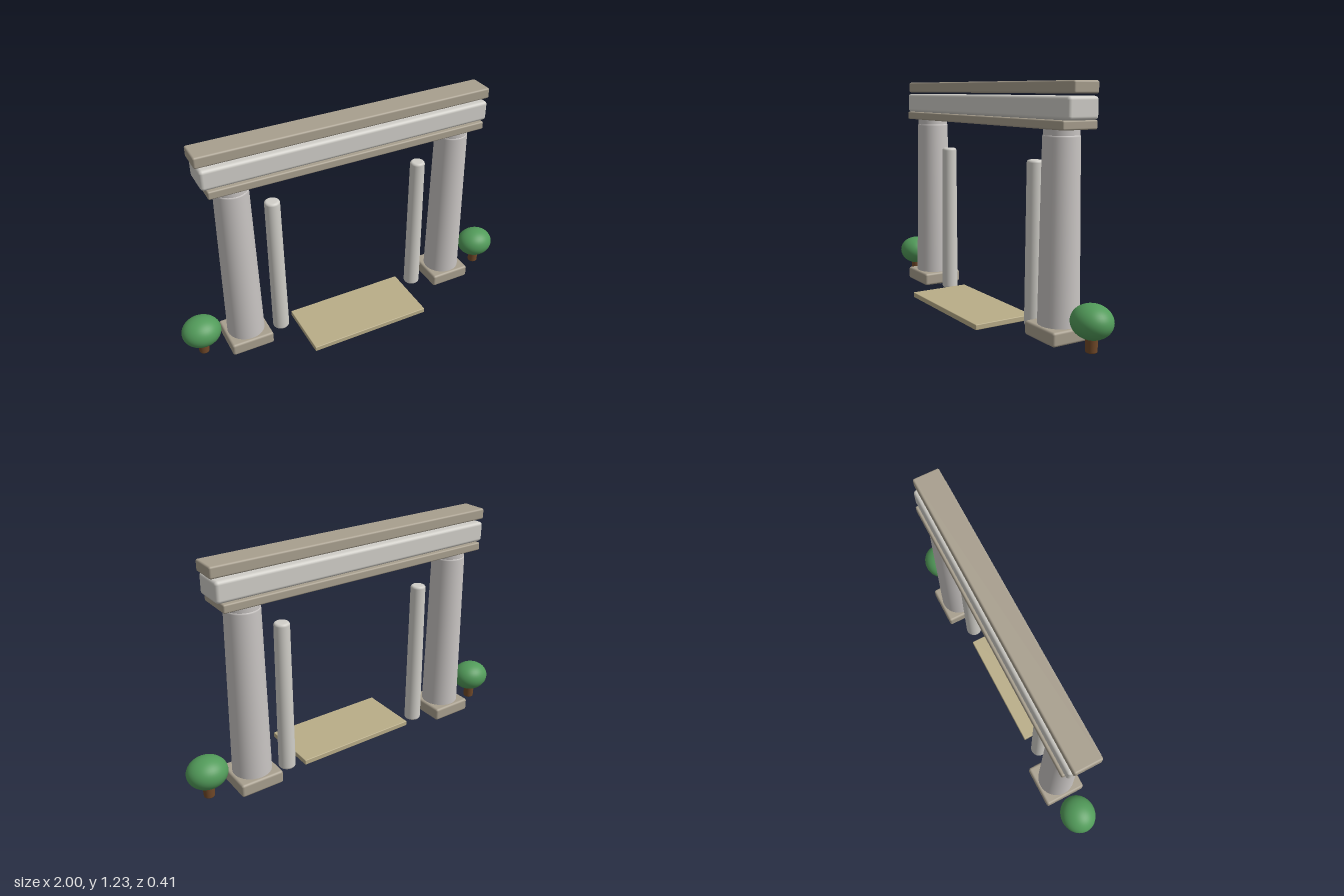
import * as THREE from 'three';
import { RoundedBoxGeometry } from 'three/addons/geometries/RoundedBoxGeometry.js';

const Z = -0.087; // depth of the gate's centre line

const material = (color) => new THREE.MeshStandardMaterial({ color });
const stone = material(0xc9c5c3);
const pale = material(0xd0cec8);
const tan = material(0xa89f8e);
const sand = material(0xb9ad88);
const bark = material(0x704828);
const leaf = material(0x529b5a);

// Rounded block given by its bottom and top heights
function block(name, mat, width, y0, y1, depth, x, z, radius) {
  const mesh = new THREE.Mesh(new RoundedBoxGeometry(width, y1 - y0, depth, 3, radius), mat);
  mesh.name = name;
  mesh.position.set(x, (y0 + y1) / 2, z);
  return mesh;
}

// Tapered round post with softly rounded rims
function post(name, mat, r0, r1, y0, y1, bevel, x, z) {
  const pts = [new THREE.Vector2(0, y0)];
  for (let i = 0; i <= 4; i++) {
    const a = (i / 4) * Math.PI / 2;
    pts.push(new THREE.Vector2(r0 - bevel + bevel * Math.sin(a), y0 + bevel - bevel * Math.cos(a)));
  }
  for (let i = 0; i <= 4; i++) {
    const a = (i / 4) * Math.PI / 2;
    pts.push(new THREE.Vector2(r1 - bevel + bevel * Math.cos(a), y1 - bevel + bevel * Math.sin(a)));
  }
  pts.push(new THREE.Vector2(0, y1));
  const mesh = new THREE.Mesh(new THREE.LatheGeometry(pts, 40), mat);
  mesh.name = name;
  mesh.position.set(x, 0, z);
  return mesh;
}

function createTree(x) {
  const tree = new THREE.Group();
  tree.name = 'tree';
  const crown = new THREE.Mesh(new THREE.SphereGeometry(1, 40, 24), leaf);
  crown.name = 'crown';
  crown.scale.set(0.107, 0.083, 0.097);
  crown.position.y = 0.153;
  tree.add(post('trunk', bark, 0.028, 0.031, 0.008, 0.1, 0.006, 0, 0), crown);
  tree.position.set(x, 0, Z);
  return tree;
}

export function createModel() {
  const gate = new THREE.Group();
  gate.name = 'gateway';

  // Mirrored supports and trees
  for (const side of [-1, 1]) {
    const pillar = new THREE.Group();
    pillar.name = side > 0 ? 'leftPillar' : 'rightPillar';
    pillar.add(
      block('plinth', tan, 0.238, 0.007, 0.079, 0.236, 0, 0, 0.013),
      post('shaft', stone, 0.104, 0.09, 0.001, 0.99, 0.012, 0, 0),
      post('neck', stone, 0.087, 0.087, 0.97, 1.025, 0.008, 0, 0)
    );
    pillar.position.set(side * 0.643, 0, Z);
    gate.add(pillar);
    gate.add(post('slimPost', pale, 0.046, 0.041, 0.008, 0.853, 0.014, side * 0.434, Z));
    gate.add(createTree(side * 0.891));
  }

  // Stacked lintel
  gate.add(
    block('architrave', tan, 1.566, 1.014, 1.058, 0.2, 0, Z, 0.008),
    block('frieze', pale, 1.616, 1.058, 1.167, 0.176, 0, Z, 0.018),
    block('cornice', tan, 1.648, 1.177, 1.236, 0.144, 0, Z, 0.01)
  );

  // Threshold slab on the ground
  gate.add(block('threshold', sand, 0.7, 0.005, 0.034, 0.34, 0, 0.032, 0.004));
  return gate;
}
